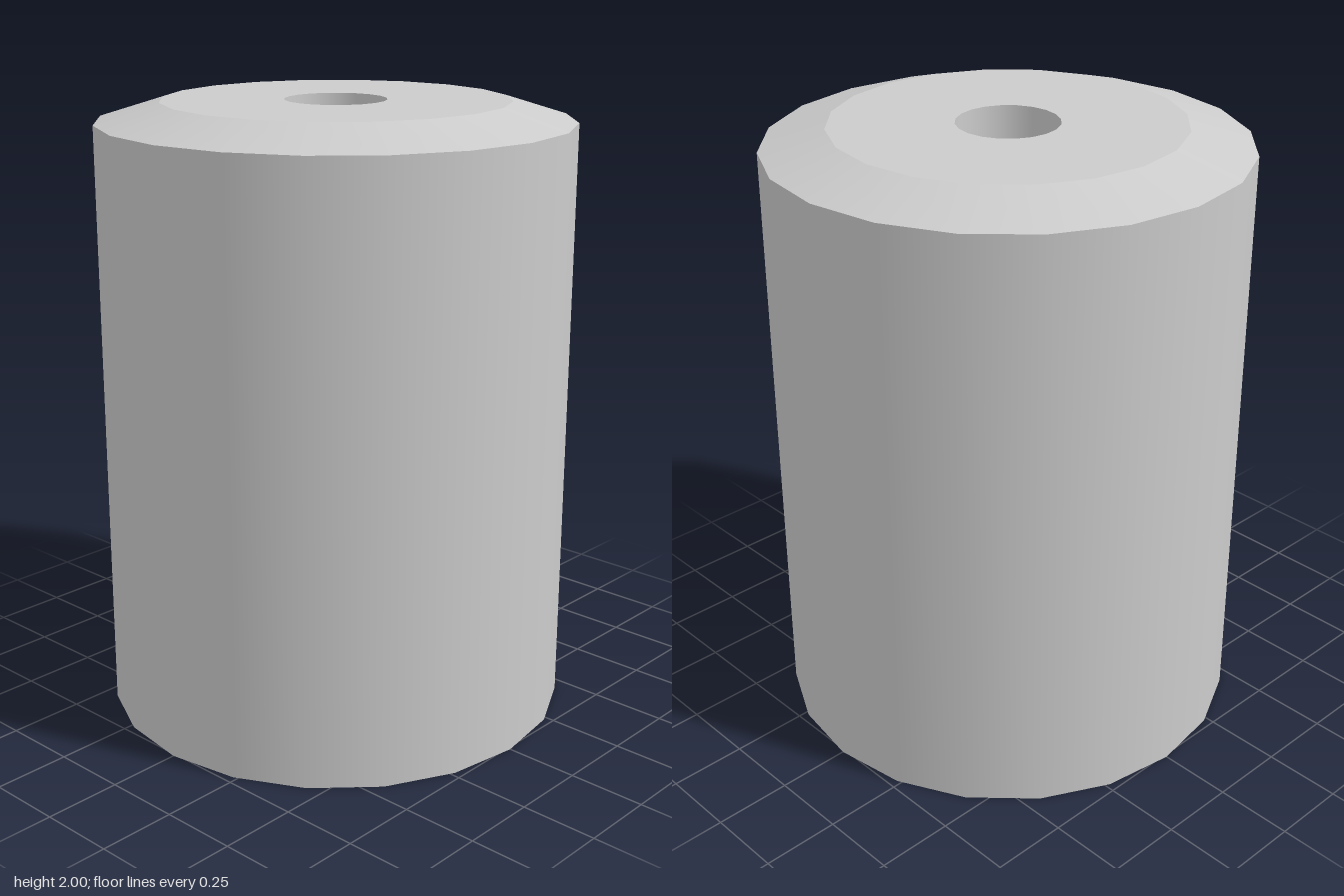
import * as THREE from 'three';

const SIDES = 20;

// Closed profile, from the bore's lower rim outward, up, and back down the bore
const PROFILE = [
  { name: 'bottomFace', r: 0.163, y: 0 },
  { name: 'outerWall', r: 0.76, y: 0 },
  { name: 'topChamfer', r: 0.76, y: 1.936 },
  { name: 'topFace', r: 0.555, y: 2 },
  { name: 'boreWall', r: 0.163, y: 2 },
];

export function createModel() {
  const cylinder = new THREE.Group();
  cylinder.name = 'boredCylinder';
  const material = new THREE.MeshStandardMaterial({ color: 0xcccccc });

  // Each band is its own lathe: smooth around the axis, sharp at the rims
  PROFILE.forEach((from, i) => {
    const to = PROFILE[(i + 1) % PROFILE.length];
    const points = [new THREE.Vector2(from.r, from.y), new THREE.Vector2(to.r, to.y)];
    const band = new THREE.Mesh(new THREE.LatheGeometry(points, SIDES), material);
    band.name = from.name;
    cylinder.add(band);
  });

  return cylinder;
}
